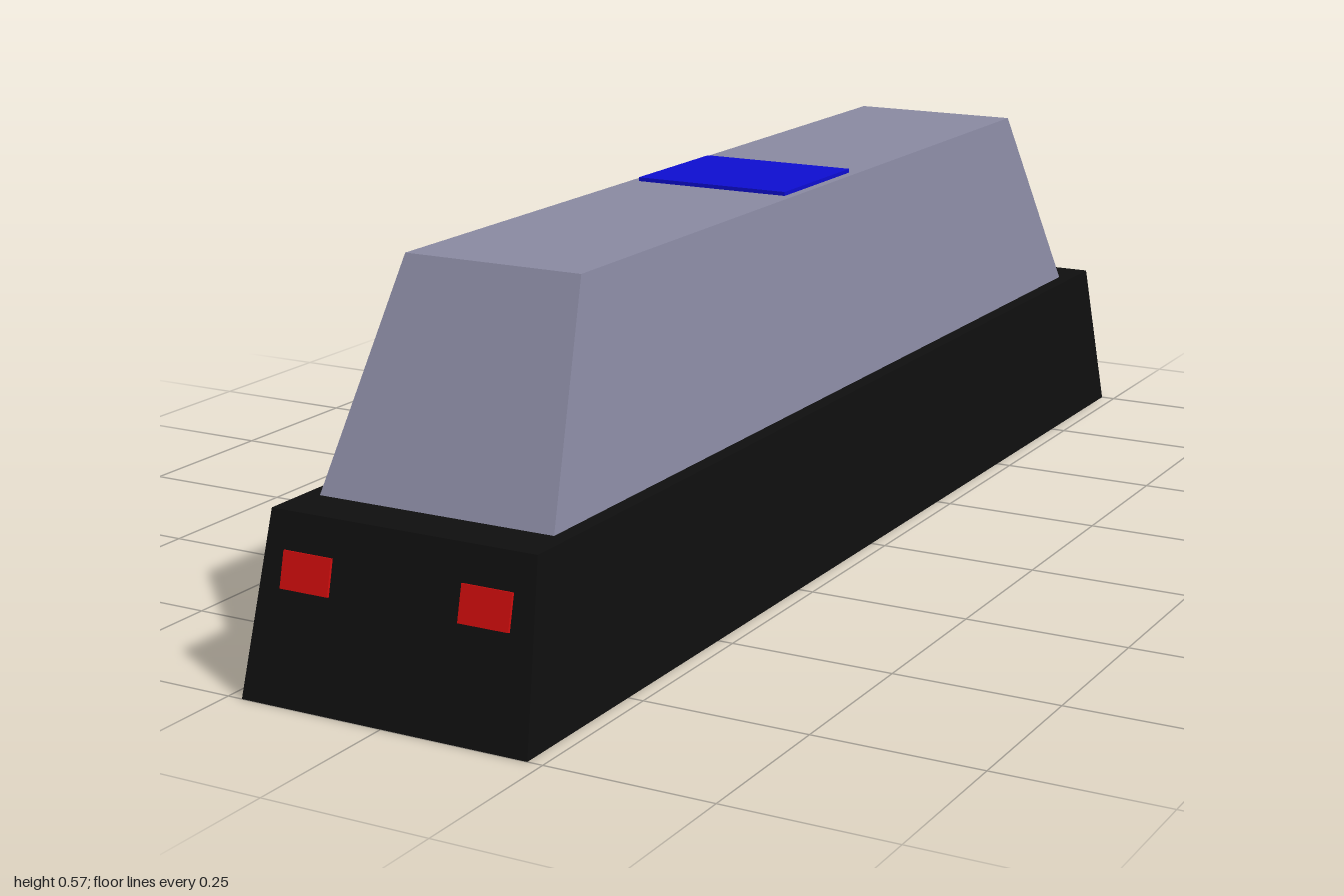
import * as THREE from 'three';

const paint = (name, color) => {
  const m = new THREE.MeshStandardMaterial({ color });
  m.name = name;
  return m;
};

// Box whose top rectangle is smaller than its bottom one (half sizes given)
function taperedBox(bx, bz, tx, tz, y0, y1) {
  const g = new THREE.BoxGeometry(2, y1 - y0, 2);
  const p = g.attributes.position;
  for (let i = 0; i < p.count; i++) {
    const top = p.getY(i) > 0;
    p.setXYZ(i, p.getX(i) * (top ? tx : bx), top ? y1 : y0, p.getZ(i) * (top ? tz : bz));
  }
  g.computeVertexNormals();
  return g;
}

export function createModel() {
  const group = new THREE.Group();
  const black = paint('black', 0x0f0f0f);
  const grey = paint('blueGrey', 0x8888a0);
  const blue = paint('blue', 0x0d0dcf);
  const red = paint('red', 0xcf0d0d);
  const green = paint('green', 0x0dcf0d);

  const add = (name, geometry, material) => {
    const mesh = new THREE.Mesh(geometry, material);
    mesh.name = name;
    group.add(mesh);
    return mesh;
  };

  // Lower hull and upper cabin
  add('hull', taperedBox(0.227, 1, 0.21, 0.94, 0, 0.255), black);
  add('cabin', taperedBox(0.187, 0.865, 0.141, 0.715, 0.255, 0.567), grey);

  // Roof panel
  add('roofPanel', new THREE.BoxGeometry(0.255, 0.007, 0.22), blue).position.y = 0.5695;

  // Lamps lie on the sloping end faces: red in front, green behind
  const slope = Math.atan2(0.06, 0.255);
  const lampY = 0.1785;
  const lampZ = 1 - 0.06 * lampY / 0.255;
  for (const end of [1, -1]) {
    for (const side of [1, -1]) {
      const lamp = add(
        (end > 0 ? 'front' : 'rear') + (side > 0 ? 'Left' : 'Right') + 'Lamp',
        new THREE.BoxGeometry(0.078, 0.052, 0.008),
        end > 0 ? red : green
      );
      lamp.position.set(side * 0.142, lampY, end * lampZ);
      lamp.rotation.x = -end * slope;
    }
  }
  return group;
}
